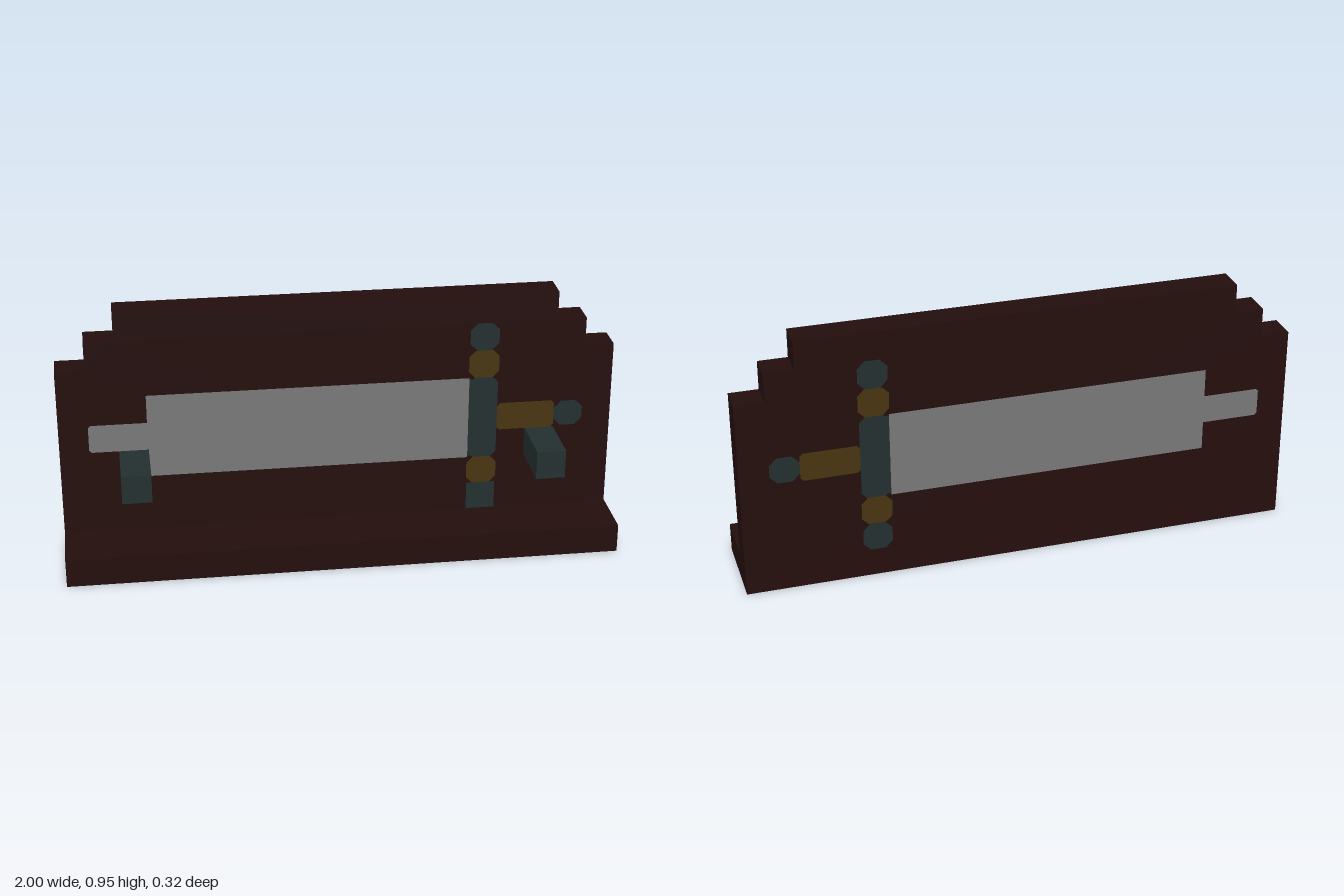
import * as THREE from 'three';

const U = 2 / 19; // one block
const mat = (name, color) => {
  const m = new THREE.MeshStandardMaterial({ color });
  m.name = name;
  return m;
};

export function createModel() {
  const wood = mat('dark wood', 0x240e0d);
  const steel = mat('blade grey', 0x787878);
  const gold = mat('dull gold', 0x483510);
  const slate = mat('dark slate', 0x232f2f);

  const model = new THREE.Group();
  model.name = 'swordStand';
  const add = (parent, name, geo, material, x, y, z) => {
    const mesh = new THREE.Mesh(geo, material);
    mesh.name = name;
    mesh.position.set(x, y, z);
    parent.add(mesh);
    return mesh;
  };

  // Stepped back board
  const half = [[9.5, 0], [9.5, 7], [8.5, 7], [8.5, 8], [7.5, 8], [7.5, 9]];
  const outline = [...half, ...half.map(([x, y]) => [-x, y]).reverse()]
    .map(([x, y]) => new THREE.Vector2(x * U, y * U));
  const boardGeo = new THREE.ExtrudeGeometry(new THREE.Shape(outline), { depth: U, bevelEnabled: false });
  add(model, 'backBoard', boardGeo, wood, 0, 0, -1.5 * U);

  // Shelf along the bottom and two pegs
  add(model, 'baseShelf', new THREE.BoxGeometry(19 * U, U, 2 * U), wood, 0, U / 2, U / 2);
  for (const side of [-1, 1]) {
    add(model, side < 0 ? 'rightPeg' : 'leftPeg', new THREE.BoxGeometry(U, U, 2 * U), slate, side * 7 * U, 3.5 * U, U / 2);
  }

  // Flat plate with cut corners, centred on its own origin
  const plate = (w, h, c) => {
    const x = w / 2, y = h / 2;
    const pts = [[x - c, -y], [x, c - y], [x, y - c], [x - c, y], [c - x, y], [-x, y - c], [-x, c - y], [c - x, -y]];
    const used = c > 0 ? pts : [[x, -y], [x, y], [-x, y], [-x, -y]];
    return new THREE.ShapeGeometry(new THREE.Shape(used.map(([a, b]) => new THREE.Vector2(a, b))));
  };

  // Sword painted on both faces: name, material, x, y, width, height (blocks), corner cut
  const parts = [
    ['blade', steel, -1.01, 4.5, 11.02, 3, 0],
    ['bladeTip', steel, -7.5, 4.5, 2, 1, 0.08],
    ['bladeTipJoin', steel, -6.7, 4.5, 0.4, 1, 0],
    ['guard', slate, 5, 4.5, 1, 3, 0.19],
    ['guardInnerEdge', slate, 4.65, 4.5, 0.3, 2.9, 0],
    ['upperCollar', gold, 5, 6.5, 1.04, 1, 0.22],
    ['lowerCollar', gold, 5, 2.5, 1.04, 1, 0.22],
    ['upperKnob', slate, 5, 7.5, 1, 1, 0.25],
    ['grip', gold, 6.5, 4.5, 2, 1, 0.1],
    ['pommel', slate, 8, 4.5, 1, 0.92, 0.25],
  ];
  for (const front of [true, false]) {
    const sword = new THREE.Group();
    sword.name = front ? 'frontSword' : 'backSword';
    const list = [...parts, ['lowerKnob', slate, 5, 1.5, 1, 1, front ? 0 : 0.25]];
    for (const [name, material, x, y, w, h, cut] of list) {
      const z = front ? -U / 2 + 0.003 : -1.5 * U - 0.003;
      const mesh = add(sword, name, plate(w * U, h * U, cut * U), material, x * U, y * U, z);
      if (!front) mesh.rotation.y = Math.PI;
    }
    model.add(sword);
  }
  return model;
}
